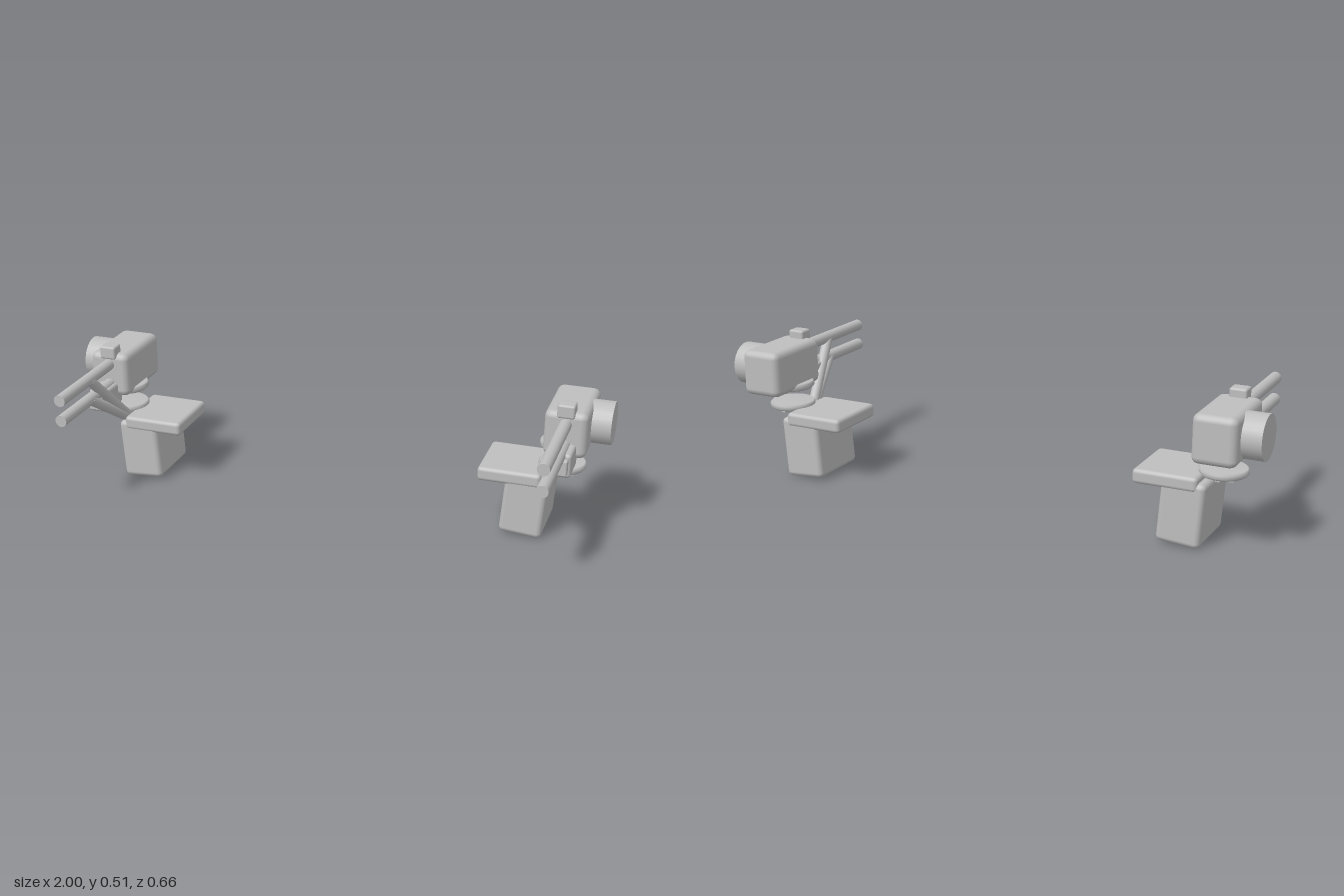
import * as THREE from 'three';
import { RoundedBoxGeometry } from 'three/addons/geometries/RoundedBoxGeometry.js';

const grey = new THREE.MeshStandardMaterial({ color: 0xbebebe });
grey.name = 'light grey';

// Builds one gun mount; s is +1 for the left one and -1 for the right one.
function createMount(s) {
  const mount = new THREE.Group();
  mount.name = s > 0 ? 'leftMount' : 'rightMount';

  function add(name, geometry, x, y, z) {
    const mesh = new THREE.Mesh(geometry, grey);
    mesh.name = name;
    mesh.position.set(s * x, y, z);
    mount.add(mesh);
    return mesh;
  }

  // Box with bevelled edges from its min and max corners
  function box(name, [x0, y0, z0], [x1, y1, z1], bevel) {
    const g = new RoundedBoxGeometry(x1 - x0, y1 - y0, z1 - z0, 2, bevel);
    return add(name, g, (x0 + x1) / 2, (y0 + y1) / 2, (z0 + z1) / 2);
  }

  // Round bar between two points
  function rod(name, from, to, radius, sides = 20) {
    const a = new THREE.Vector3(...from), b = new THREE.Vector3(...to);
    a.x *= s;
    b.x *= s;
    const d = b.clone().sub(a);
    const mesh = add(name, new THREE.CylinderGeometry(radius, radius, d.length(), sides), 0, 0, 0);
    mesh.position.copy(a).add(b).multiplyScalar(0.5);
    mesh.quaternion.setFromUnitVectors(new THREE.Vector3(0, 1, 0), d.normalize());
    return mesh;
  }

  // Disc with softened rims
  function disc(name, radius, height, x, y, z) {
    const h = height / 2, b = 0.006;
    const profile = [[0, -h], [radius - b, -h], [radius, -h + b], [radius, h - b], [radius - b, h], [0, h]];
    add(name, new THREE.LatheGeometry(profile.map(p => new THREE.Vector2(...p)), 28), x, y, z);
  }

  // Gun housing, side drum and sight
  box('housing', [0.782, 0.317, -0.328], [0.932, 0.483, -0.05], 0.024);
  rod('drum', [0.92, 0.402, -0.209], [1, 0.402, -0.209], 0.077, 24);
  box('sight', [0.826, 0.464, -0.096], [0.887, 0.513, -0.042], 0.008);

  // Twin barrels
  for (const y of [0.441, 0.364]) rod('barrel', [0.857, y, -0.08], [0.857, y, 0.33], 0.0215);

  // Outer side block with its front cap
  box('sideBlock', [0.825, 0.284, -0.086], [0.899, 0.371, 0.041], 0.012);
  box('sideBlockCap', [0.835, 0.298, 0.02], [0.89, 0.356, 0.061], 0.006);

  // Struts from the barrels down to the base
  rod('upperStrut', [0.853, 0.435, 0.108], [0.8, 0.225, -0.085], 0.019);
  rod('lowerStrut', [0.853, 0.363, 0.115], [0.8, 0.228, -0.075], 0.019);

  // Turntable discs and the bolts below
  disc('upperDisc', 0.083, 0.026, 0.841, 0.328, -0.156);
  disc('lowerDisc', 0.083, 0.024, 0.841, 0.252, -0.153);
  for (let i = 0; i < 8; i++) {
    const a = i * Math.PI / 4;
    add('bolt', new THREE.BoxGeometry(0.014, 0.014, 0.014),
      0.841 + 0.058 * Math.cos(a), 0.238, -0.153 + 0.058 * Math.sin(a));
  }

  // Base plate and the tilted box beneath it
  box('basePlate', [0.566, 0.199, -0.27], [0.79, 0.25, -0.022], 0.014);
  const bin = box('baseBox', [0.658, 0.008, -0.266], [0.81, 0.232, -0.025], 0.018);
  bin.rotation.z = -s * 0.075;
  return mount;
}

export function createModel() {
  const model = new THREE.Group();
  model.name = 'twinGunMounts';
  for (const s of [1, -1]) model.add(createMount(s));
  return model;
}
